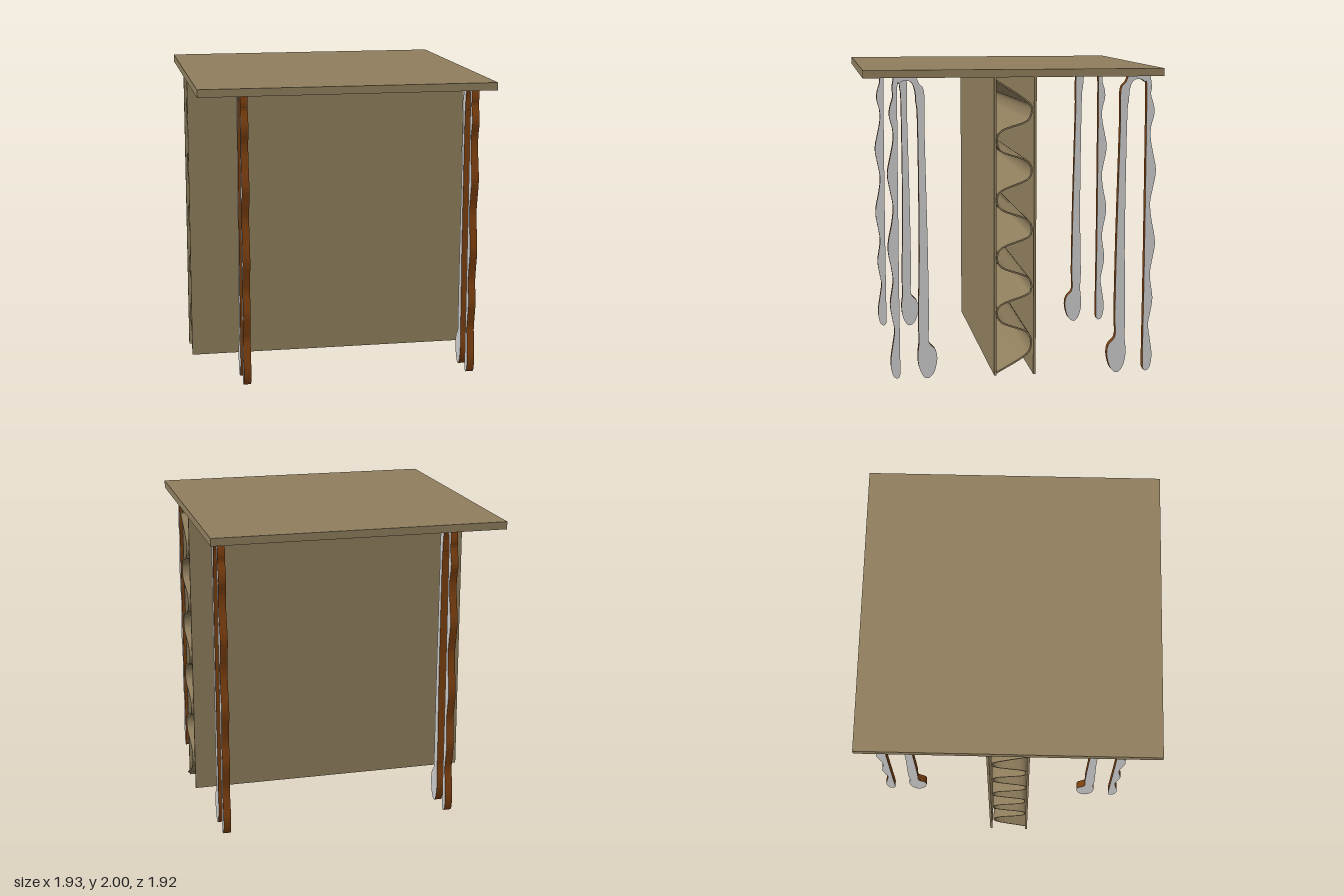
import * as THREE from 'three';

const V = (z, y) => new THREE.Vector2(z, y);

// Extrude a (z, y) profile along x, from x0 to x0 + width
function extrudeX(points, x0, width) {
  const geo = new THREE.ExtrudeGeometry(new THREE.Shape(points), { depth: width, bevelEnabled: false });
  return geo.rotateY(-Math.PI / 2).translate(x0 + width, 0, 0);
}

// Outline of one bent leg: wavy outer strand, hook at the top, inner strand with a spoon foot
const LEG = [
  [0.765, 1.95], [0.775, 1.88], [0.77, 1.83], [0.79, 1.76], [0.793, 1.7], [0.773, 1.62],
  [0.773, 1.54], [0.79, 1.45], [0.81, 1.34], [0.795, 1.24], [0.775, 1.13], [0.785, 1.02],
  [0.805, 0.92], [0.81, 0.84], [0.79, 0.73], [0.78, 0.65], [0.79, 0.57], [0.8, 0.49],
  [0.785, 0.39], [0.773, 0.32], [0.785, 0.23], [0.8, 0.12], [0.79, 0.04], [0.768, 0.01],
  [0.744, 0.02], [0.739, 0.1], [0.742, 0.6], [0.743, 1.2], [0.742, 1.85], [0.73, 1.91],
  [0.69, 1.93], [0.65, 1.915], [0.63, 1.86], [0.625, 1.79], [0.615, 1.66], [0.61, 0.87],
  [0.62, 0.39], [0.615, 0.26], [0.625, 0.15], [0.615, 0.07], [0.588, 0.015], [0.556, 0.004],
  [0.52, 0.04], [0.499, 0.125], [0.51, 0.19], [0.546, 0.23], [0.556, 0.28], [0.551, 0.39],
  [0.556, 0.87], [0.567, 1.4], [0.572, 1.66], [0.572, 1.86], [0.604, 1.91], [0.62, 1.95],
];

// Centre line of the corrugated core, top to bottom
const WAVE = [
  [0.122, 1.93], [-0.06, 1.81], [-0.1, 1.77], [-0.1, 1.72], [-0.075, 1.675], [0.085, 1.615],
  [0.115, 1.58], [0.115, 1.52], [0.09, 1.48], [-0.075, 1.42], [-0.1, 1.385], [-0.1, 1.335],
  [-0.075, 1.3], [0.09, 1.23], [0.115, 1.2], [0.115, 1.14], [0.085, 1.105], [-0.07, 1.045],
  [-0.1, 1.01], [-0.1, 0.95], [-0.075, 0.925], [0.09, 0.86], [0.115, 0.825], [0.115, 0.77],
  [0.09, 0.735], [-0.075, 0.67], [-0.1, 0.64], [-0.1, 0.58], [-0.075, 0.555], [0.085, 0.495],
  [0.115, 0.465], [0.115, 0.41], [0.09, 0.375], [-0.07, 0.31], [-0.1, 0.27], [-0.1, 0.21],
  [-0.075, 0.165], [0.122, 0.045],
];

export function createModel() {
  const group = new THREE.Group();
  const tan = new THREE.MeshStandardMaterial({ color: 0x8f7e5d });
  const grey = new THREE.MeshStandardMaterial({ color: 0xcacaca });
  const brown = new THREE.MeshStandardMaterial({ color: 0x7b3f0f });
  tan.name = 'cardboard tan';
  grey.name = 'light grey';
  brown.name = 'wood brown';

  const add = (name, geo, material) => {
    const mesh = new THREE.Mesh(geo, material);
    mesh.name = name;
    group.add(mesh);
    return mesh;
  };
  const box = (name, x0, x1, y0, y1, z0, z1) =>
    add(name, new THREE.BoxGeometry(x1 - x0, y1 - y0, z1 - z0)
      .translate((x0 + x1) / 2, (y0 + y1) / 2, (z0 + z1) / 2), tan);

  // Table top and the two thin sheets below it
  box('tableTop', -0.97, 0.947, 1.95, 2, -0.96, 0.96);
  box('frontPanel', -0.965, 0.95, 0.025, 1.95, 0.122, 0.137);
  box('backPanel', -0.965, 0.95, 0.025, 1.95, -0.135, -0.119);

  // Corrugated core: thickened curve, slightly shorter towards the far end
  const curve = new THREE.CatmullRomCurve3(WAVE.map(([z, y]) => new THREE.Vector3(z, y, 0)));
  const steps = 150, upper = [], lower = [];
  for (let i = 0; i <= steps; i++) {
    const p = curve.getPoint(i / steps), t = curve.getTangent(i / steps);
    upper.push(V(p.x - t.y * 0.005, p.y + t.x * 0.005));
    lower.unshift(V(p.x + t.y * 0.005, p.y - t.x * 0.005));
  }
  const core = extrudeX([...upper, ...lower], -0.955, 1.918);
  const pos = core.attributes.position;
  for (let i = 0; i < pos.count; i++) {
    if (pos.getX(i) < 0) pos.setY(i, 0.985 + (pos.getY(i) - 0.985) * 0.965);
  }
  core.computeVertexNormals();
  add('corrugatedCore', core, tan);

  // Four bent legs: grey cut faces, brown edges; the back pair is mirrored
  const outline = new THREE.SplineCurve(LEG.map(([z, y]) => V(z, y))).getPoints(160);
  outline.forEach((p) => { p.y = Math.min(p.y, 1.95); });
  const backOutline = outline.map((p) => V(-p.x - 0.118, p.y));
  for (const [side, x] of [['Right', -0.683], ['Left', 0.83]]) {
    add('front' + side + 'Leg', extrudeX(outline, x, 0.049), [grey, brown]);
    add('back' + side + 'Leg', extrudeX(backOutline, x + 0.017, 0.049), [grey, brown]);
  }
  return group;
}
